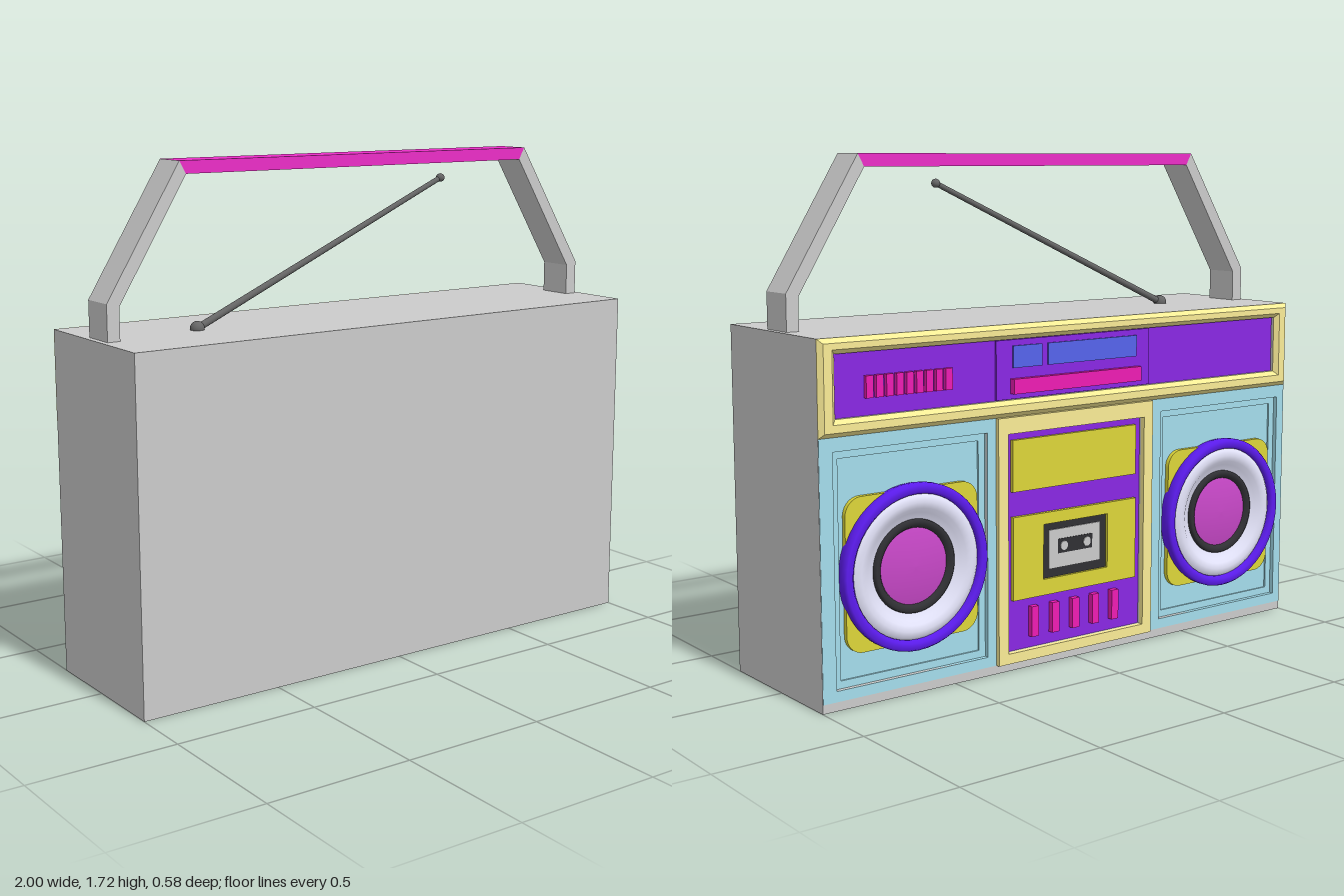
import * as THREE from 'three';

const mat = (color) => new THREE.MeshStandardMaterial({ color, side: THREE.DoubleSide });
const M = {
  grey: mat(0xcccccc), pink: mat(0xec2ec8), cyan: mat(0xa4ddec), purple: mat(0x8928e4),
  yellow: mat(0xddd639), cream: mat(0xfaec96), blue: mat(0x5664ec), violet: mat(0x5d1cf0),
  pale: mat(0xe4e4fa), black: mat(0x303034), magenta: mat(0xc848c8), steel: mat(0x666666),
  key: mat(0xee1cb4),
};

function add(parent, name, geometry, material) {
  const mesh = new THREE.Mesh(geometry, material);
  mesh.name = name;
  parent.add(mesh);
  return mesh;
}

// Box given by its limits
function block(parent, name, material, x0, x1, y0, y1, z0, z1) {
  const mesh = add(parent, name, new THREE.BoxGeometry(x1 - x0, y1 - y0, z1 - z0), material);
  mesh.position.set((x0 + x1) / 2, (y0 + y1) / 2, (z0 + z1) / 2);
  return mesh;
}

const corners = ([x0, x1, y0, y1]) =>
  [[x0, y0], [x1, y0], [x1, y1], [x0, y1]].map(([x, y]) => new THREE.Vector2(x, y));

// Rectangular plate with rectangular openings, optionally chamfered at its front
function frame(parent, name, material, outer, holes, z0, z1, bevel = 0) {
  const inset = ([a, b, c, d], k) => [a + k, b - k, c + k, d - k];
  const shape = new THREE.Shape(corners(inset(outer, bevel)));
  for (const h of holes) shape.holes.push(new THREE.Path(corners(inset(h, -bevel)).reverse()));
  const geo = new THREE.ExtrudeGeometry(shape, {
    depth: z1 - z0 - bevel, bevelEnabled: bevel > 0, bevelSize: bevel,
    bevelThickness: bevel, bevelSegments: 1,
  });
  add(parent, name, geo, material).position.z = z0;
}

function roundedSquare(half, r) {
  const s = new THREE.Shape();
  const k = half - r;
  s.absarc(k, k, r, 0, Math.PI / 2);
  s.absarc(-k, k, r, Math.PI / 2, Math.PI);
  s.absarc(-k, -k, r, Math.PI, Math.PI * 1.5);
  s.absarc(k, -k, r, Math.PI * 1.5, Math.PI * 2);
  return s;
}

function speaker(name, u) {
  const g = new THREE.Group();
  g.name = name;
  g.position.set(u, 0.42, 0);
  const plate = new THREE.ExtrudeGeometry(roundedSquare(0.25, 0.06),
    { depth: 0.018, bevelEnabled: false });
  add(g, 'speakerPlate', plate, M.yellow).position.z = 0.238;
  // Turned parts: profiles of radius and depth, outside to centre
  const turned = (part, material, profile) => {
    const pts = profile.map(([r, d]) => new THREE.Vector2(r, d));
    add(g, part, new THREE.LatheGeometry(pts, 48), material).rotation.x = Math.PI / 2;
  };
  turned('speakerRim', M.violet,
    [[0.268, 0.24], [0.273, 0.262], [0.273, 0.28], [0.266, 0.29], [0.246, 0.29], [0.237, 0.28], [0.237, 0.255]]);
  turned('speakerCone', M.pale,
    [[0.24, 0.27], [0.228, 0.28], [0.21, 0.284], [0.19, 0.279], [0.175, 0.266], [0.15, 0.256]]);
  turned('coneRing', M.black,
    [[0.154, 0.252], [0.152, 0.266], [0.145, 0.27], [0.132, 0.268], [0.124, 0.256]]);
  turned('dustCap', M.magenta,
    [[0.127, 0.257], [0.1, 0.263], [0.06, 0.268], [0.03, 0.27], [0, 0.271]]);
  return g;
}

export function createModel() {
  const model = new THREE.Group();
  model.name = 'portableStereo';

  // Decorated face: built facing +z, then turned to the rear
  const face = new THREE.Group();
  face.name = 'controlFace';
  face.rotation.y = Math.PI;
  model.add(face);

  // Case with openings in its outer layer
  const topHole = [-0.94, 0.94, 0.92, 1.12];
  const deckHole = [-0.295, 0.295, 0.065, 0.81];
  const wells = [[-0.95, -0.37, 0.065, 0.82], [0.385, 0.965, 0.065, 0.82]];
  block(model, 'case', M.grey, -1, 1, 0, 1.17, -0.235, 0.29);
  frame(face, 'caseRim', M.grey, [-1, 1, 0, 1.17], [topHole, deckHole, ...wells], 0.235, 0.26);

  // Speaker bays
  [[-0.999, -0.335], [0.335, 0.999]].forEach(([a, b], i) => {
    frame(face, 'speakerBayFrame', M.cyan, [a, b, 0.03, 0.865], [wells[i]], 0.236, 0.262);
    const [x0, x1, y0, y1] = wells[i];
    block(face, 'speakerBayFloor', M.cyan, x0, x1, y0, y1, 0.234, 0.24);
    frame(face, 'grilleEdge', M.cyan, wells[i],
      [[x0 + 0.025, x1 - 0.025, y0 + 0.025, y1 - 0.025]], 0.236, 0.246);
  });
  face.add(speaker('leftSpeaker', -0.657), speaker('rightSpeaker', 0.68));

  // Upper band with tuner
  frame(face, 'upperFrame', M.cream, [-1, 1, 0.865, 1.17], [topHole], 0.26, 0.277, 0.015);
  block(face, 'upperPanel', M.purple, -0.94, 0.94, 0.92, 1.12, 0.234, 0.25);
  block(face, 'tunerPanel', M.purple, -0.33, 0.33, 0.922, 1.118, 0.25, 0.258);
  block(face, 'smallDisplay', M.blue, -0.265, -0.145, 1.025, 1.098, 0.255, 0.264);
  block(face, 'tuningDisplay', M.blue, -0.12, 0.268, 1.025, 1.098, 0.255, 0.264);
  block(face, 'tuningBar', M.key, -0.272, 0.278, 0.94, 0.99, 0.255, 0.278);
  for (let i = 0; i < 9; i++) {
    const u = -0.815 + i * 0.037;
    block(face, 'presetButton', M.key, u - 0.013, u + 0.013, 0.975, 1.045, 0.25, 0.264);
  }

  // Cassette deck
  frame(face, 'deckFrame', M.cream, [-0.335, 0.335, 0.03, 0.865], [deckHole], 0.26, 0.277);
  block(face, 'deckPanel', M.purple, -0.295, 0.295, 0.065, 0.81, 0.234, 0.252);
  block(face, 'deckUpperPlate', M.yellow, -0.268, 0.268, 0.61, 0.785, 0.25, 0.264);
  frame(face, 'cassetteDoor', M.yellow, [-0.268, 0.268, 0.24, 0.525],
    [[-0.14, 0.14, 0.295, 0.485]], 0.25, 0.266);
  block(face, 'cassetteWindow', M.black, -0.14, 0.14, 0.295, 0.485, 0.25, 0.256);
  block(face, 'cassette', M.grey, -0.112, 0.112, 0.325, 0.46, 0.254, 0.26);
  block(face, 'cassetteLabel', M.black, -0.075, 0.075, 0.375, 0.425, 0.258, 0.262);
  for (const u of [-0.05, 0.05]) {
    const reel = add(face, 'cassetteReel', new THREE.CylinderGeometry(0.016, 0.016, 0.006, 16), M.grey);
    reel.rotation.x = Math.PI / 2;
    reel.position.set(u, 0.4, 0.262);
  }
  for (let i = 0; i < 5; i++) {
    const u = -0.18 + i * 0.088;
    block(face, 'deckKey', M.key, u - 0.015, u + 0.015, 0.105, 0.21, 0.25, 0.272);
  }

  // Handle: two bent legs and a grip
  const bar = (name, material, points) => {
    const shape = new THREE.Shape(points.map(([x, y]) => new THREE.Vector2(x, y)));
    const geo = new THREE.ExtrudeGeometry(shape, { depth: 0.124, bevelEnabled: false });
    add(model, name, geo, material).position.z = -0.046;
  };
  for (const s of [-1, 1]) {
    bar('handleLeg', M.grey, [[0.98, 1.17], [0.98, 1.29], [0.713, 1.72], [0.69, 1.678],
      [0.936, 1.278], [0.936, 1.17]].map(([x, y]) => [s * x, y]));
  }
  bar('handleGrip', M.pink, [[-0.69, 1.678], [0.69, 1.678], [0.713, 1.72], [-0.713, 1.72]]);

  // Antenna
  const base = new THREE.Vector3(-0.625, 1.175, 0.018);
  const tip = new THREE.Vector3(0.375, 1.622, 0.018);
  const rod = add(model, 'antennaRod',
    new THREE.CylinderGeometry(0.009, 0.012, base.distanceTo(tip), 16), M.steel);
  rod.position.copy(base).lerp(tip, 0.5);
  rod.quaternion.setFromUnitVectors(new THREE.Vector3(0, 1, 0), tip.clone().sub(base).normalize());
  add(model, 'antennaPivot', new THREE.SphereGeometry(0.024, 20, 12), M.steel).position.copy(base);
  add(model, 'antennaTip', new THREE.SphereGeometry(0.015, 16, 10), M.steel).position.copy(tip);

  return model;
}
